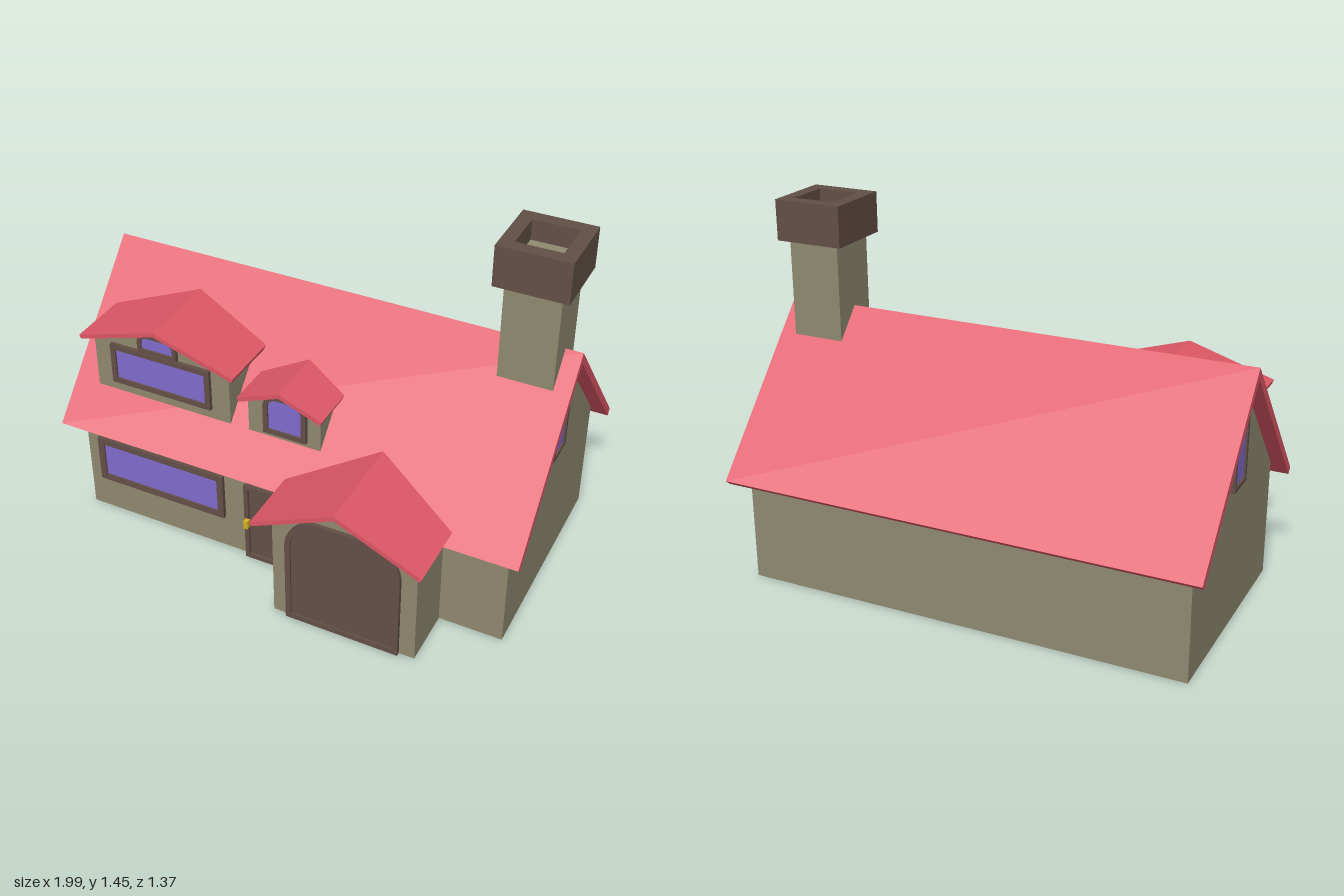
import * as THREE from 'three';

const mat = (color) => new THREE.MeshStandardMaterial({ color, flatShading: true });

export function createModel() {
  const model = new THREE.Group();
  const house = new THREE.Group();
  house.name = 'house';
  house.rotation.y = 0.0873; // the house stands slightly turned
  house.position.z = -0.076;
  model.add(house);

  const wall = mat(0x8f8970), red = mat(0xdd5765), brown = mat(0x624f47);
  const glass = mat(0x806bcd), gold = mat(0xd8b021);

  const add = (name, geometry, material, x = 0, y = 0, z = 0, parent = house) => {
    const mesh = new THREE.Mesh(geometry, material);
    mesh.name = name;
    mesh.position.set(x, y, z);
    parent.add(mesh);
    return mesh;
  };
  const polygon = (points) => new THREE.Shape(points.map(([x, y]) => new THREE.Vector2(x, y)));
  const extrude = (shape, depth, curveSegments = 5) =>
    new THREE.ExtrudeGeometry(shape, { depth, bevelEnabled: false, curveSegments });

  // Bent roof slab: ridge height, half span, slope and thickness square to the slope
  const roofShape = (half, ridge, slope, t) => {
    const k = Math.hypot(1, slope);
    const eave = ridge - half * slope;
    const inX = half - t * slope / k, inY = eave - t / k;
    return polygon([[-half, eave], [-inX, inY], [0, ridge - t * k], [inX, inY], [half, eave], [0, ridge]]);
  };
  // Gabled wall outline that meets the underside of such a roof
  const gableShape = (half, base, ridge, slope, t) => {
    const apex = ridge - t * Math.hypot(1, slope) + 0.003;
    return polygon([[-half, base], [half, base], [half, apex - half * slope], [0, apex], [-half, apex - half * slope]]);
  };
  // Panel outline standing on y = 0, with rounded upper corners
  const panel = (w, h, r, inset = 0) => {
    const s = new THREE.Shape();
    const x = w / 2 - inset, b = inset, t = h - inset, q = Math.max(r - inset, 0);
    s.moveTo(-x, b);
    s.lineTo(x, b);
    if (q > 0) {
      s.lineTo(x, t - q);
      s.absarc(x - q, t - q, q, 0, Math.PI / 2, false);
      s.lineTo(-x + q, t);
      s.absarc(-x + q, t - q, q, Math.PI / 2, Math.PI, false);
    } else {
      s.lineTo(x, t);
      s.lineTo(-x, t);
    }
    s.closePath();
    return s;
  };
  // Frame with a recessed filling, used for windows and doors
  const opening = (name, { w, h, r = 0, border, depth = 0.016, fill = glass, segments = 5 }, x, y, z, turn = 0) => {
    const group = new THREE.Group();
    group.name = name;
    group.position.set(x, y, z);
    group.rotation.y = turn;
    const ring = panel(w, h, r);
    ring.holes.push(panel(w, h, r, border));
    add(name + 'Frame', extrude(ring, depth, segments), brown, 0, 0, 0, group);
    add(name + 'Panel', extrude(panel(w, h, r, border), depth * 0.5, segments), fill, 0, 0, 0, group);
    house.add(group);
    return group;
  };

  // Main body and roof
  const slope = 0.59 / 0.53;
  add('mainWalls', extrude(gableShape(0.45, 0, 1.02, slope, 0.03), 1.79).rotateY(Math.PI / 2), wall, -0.895);
  add('mainRoof', extrude(roofShape(0.53, 1.02, slope, 0.03), 1.908).rotateY(Math.PI / 2), red, -0.954);

  // Gabled extensions: garage and two dormers
  const gables = [
    { name: 'garage', x: 0.356, half: 0.334, wallHalf: 0.288, base: 0, ridge: 0.625, slope: 0.455, back: 0.34, wallZ: 0.68, front: 0.76 },
    { name: 'largeDormer', x: -0.551, half: 0.337, wallHalf: 0.296, base: 0.555, ridge: 0.92, slope: 0.31, back: 0.08, wallZ: 0.4, front: 0.44 },
    { name: 'smallDormer', x: -0.026, half: 0.175, wallHalf: 0.15, base: 0.555, ridge: 0.81, slope: 0.4, back: 0.18, wallZ: 0.4, front: 0.44 },
  ];
  for (const g of gables) {
    add(g.name + 'Walls', extrude(gableShape(g.wallHalf, g.base, g.ridge, g.slope, 0.018), g.wallZ - g.back - 0.02), wall, g.x, 0, g.back + 0.02);
    add(g.name + 'Roof', extrude(roofShape(g.half, g.ridge, g.slope, 0.018), g.front - g.back), red, g.x, 0, g.back);
  }

  // Doors
  opening('garageDoor', { w: 0.457, h: 0.493, r: 0.14, border: 0.022, fill: brown }, 0.354, 0, 0.68);
  opening('frontDoor', { w: 0.22, h: 0.36, border: 0.018, depth: 0.024, fill: brown }, -0.06, 0, 0.45);
  add('doorKnob', new THREE.BoxGeometry(0.018, 0.036, 0.022), gold, -0.155, 0.18, 0.483);

  // Windows
  opening('frontWindow', { w: 0.572, h: 0.205, border: 0.027 }, -0.553, 0.15, 0.45);
  opening('largeDormerWindow', { w: 0.436, h: 0.175, border: 0.022 }, -0.551, 0.62, 0.4);
  opening('smallUpperWindow', { w: 0.17, h: 0.085, r: 0.045, border: 0.016, segments: 3 }, -0.557, 0.798, 0.4);
  opening('smallDormerWindow', { w: 0.178, h: 0.178, r: 0.06, border: 0.02 }, -0.018, 0.598, 0.4);
  for (const side of [1, -1]) {
    opening(side > 0 ? 'leftGableWindow' : 'rightGableWindow',
      { w: 0.135, h: 0.25, border: 0.016 }, side * 0.895, 0.56, 0, side * Math.PI / 2);
  }

  // Chimney stack with an open cap
  add('chimneyStack', new THREE.BoxGeometry(0.21, 0.57, 0.21), wall, 0.783, 1.08, 0);
  const cap = panel(0.277, 0.277, 0);
  cap.holes.push(panel(0.277, 0.277, 0, 0.052));
  add('chimneyCap', extrude(cap, 0.16).rotateX(-Math.PI / 2), brown, 0.783, 1.285, 0.1385);

  return model;
}
